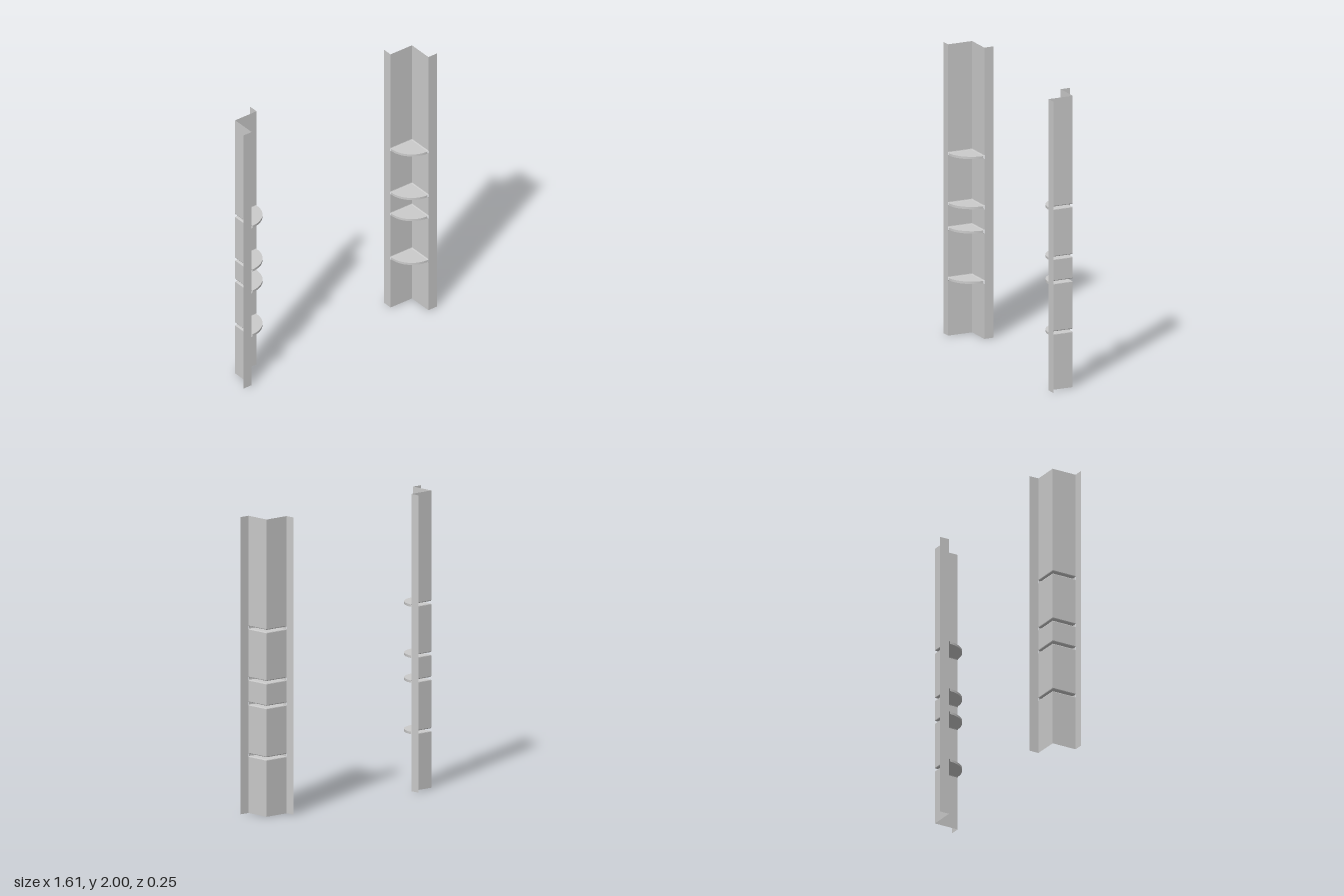
import * as THREE from 'three';

const HEIGHT = 2;
const INNER = 0.559, CORNER = 0.737, OUTER = 0.807; // x of the folds
const BACK = -0.124, BEND = -0.054, FRONT = 0.124;  // z of the folds
const SHELVES = [0.391, 0.737, 0.904, 1.248];       // shelf centre heights
const HALF = 0.008, BEVEL = 0.006;                  // half thickness, rolled lip

const material = new THREE.MeshStandardMaterial({ color: 0xcccccc, side: THREE.DoubleSide });

// Sheet between successive rows of points, with flat facets
function sheet(name, rows) {
  const positions = [];
  for (let r = 0; r + 1 < rows.length; r++) {
    for (let i = 0; i + 1 < rows[r].length; i++) {
      const a = rows[r][i], b = rows[r][i + 1], c = rows[r + 1][i + 1], d = rows[r + 1][i];
      positions.push(...a, ...c, ...b, ...a, ...d, ...c);
    }
  }
  const geometry = new THREE.BufferGeometry();
  geometry.setAttribute('position', new THREE.Float32BufferAttribute(positions, 3));
  geometry.computeVertexNormals();
  const mesh = new THREE.Mesh(geometry, material);
  mesh.name = name;
  return mesh;
}

// L-shaped row of the angled wall, pulled inwards by inset
const wallRow = (y, inset) => [
  [INNER, y, BEND + inset],
  [CORNER - inset, y, BEND + inset],
  [CORNER - inset, y, FRONT],
];

function createPost(name) {
  const post = new THREE.Group();
  post.name = name;

  // Wall panels between the shelf grooves, with lips rolled into the grooves
  for (let i = 0; i <= SHELVES.length; i++) {
    const rows = [];
    if (i === 0) rows.push(wallRow(0, 0));
    else {
      const y = SHELVES[i - 1] + HALF;
      rows.push(wallRow(y, BEVEL), wallRow(y + BEVEL * 0.3, BEVEL * 0.3), wallRow(y + BEVEL, 0));
    }
    if (i === SHELVES.length) rows.push(wallRow(HEIGHT, 0));
    else {
      const y = SHELVES[i] - HALF;
      rows.push(wallRow(y - BEVEL, 0), wallRow(y - BEVEL * 0.3, BEVEL * 0.3), wallRow(y, BEVEL));
    }
    post.add(sheet('wallPanel', rows));
  }

  // Flanges folded away from both wall edges
  post.add(sheet('backFlange', [0, HEIGHT].map(y => [[INNER, y, BACK], [INNER, y, BEND]])));
  post.add(sheet('sideFlange', [0, HEIGHT].map(y => [[CORNER, y, FRONT], [OUTER, y, FRONT]])));

  // Hollow quarter-round shelves, open to the grooves outside
  const radius = CORNER - INNER - BEVEL;
  const quarter = new THREE.CylinderGeometry(radius, radius, HALF * 2, 20, 1, false, -Math.PI / 2, Math.PI / 2);
  for (const y of SHELVES) {
    const shelf = new THREE.Mesh(quarter, material);
    shelf.name = 'cornerShelf';
    shelf.position.set(CORNER - BEVEL, y, BEND + BEVEL);
    post.add(shelf);
  }
  return post;
}

export function createModel() {
  const model = new THREE.Group();
  model.name = 'cornerShelfPair';
  const left = createPost('leftPost');
  const right = createPost('rightPost');
  right.scale.x = -1;
  model.add(left, right);
  return model;
}
